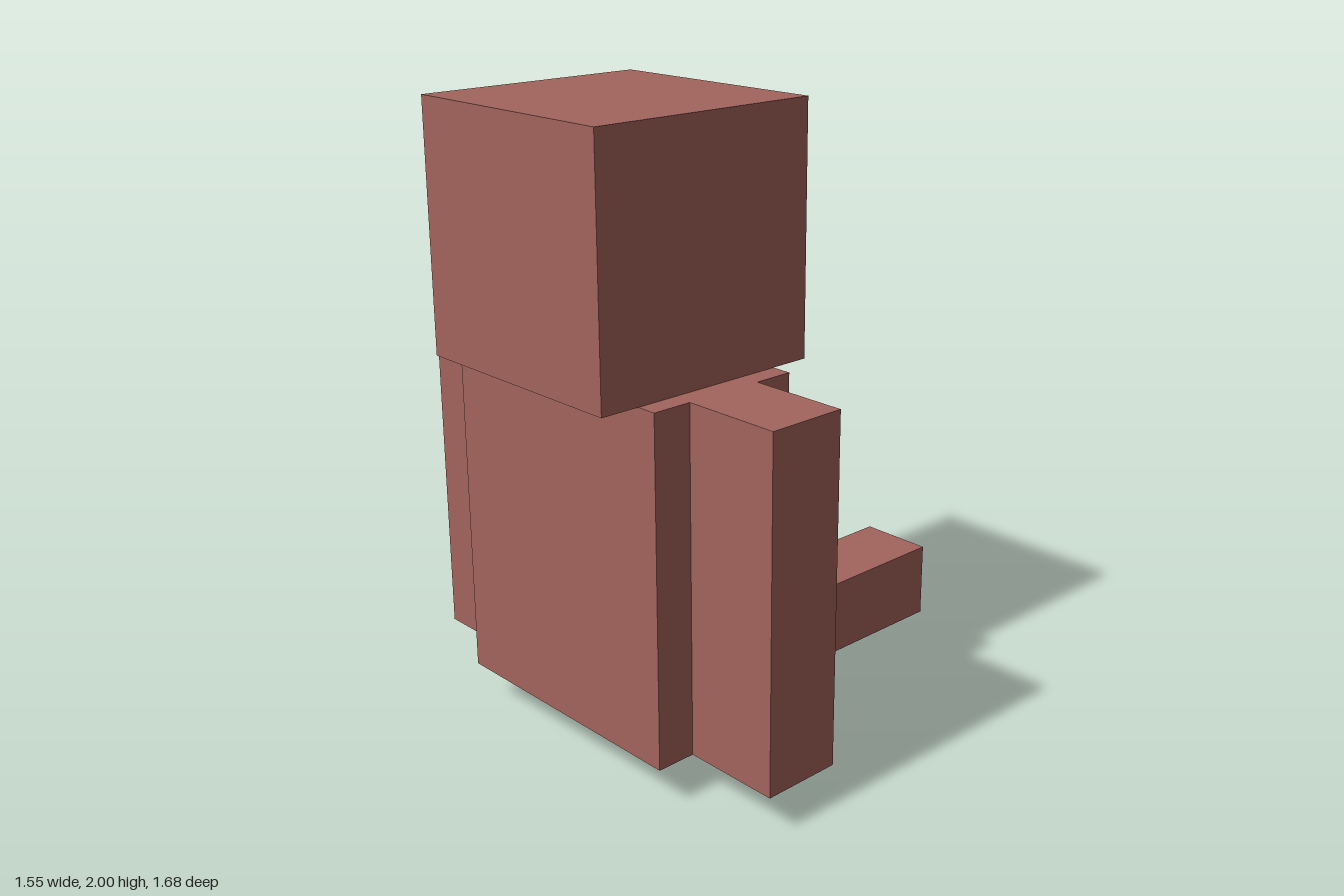
import * as THREE from 'three';

const U = 2 / 15.5; // one block unit

export function createModel() {
  const model = new THREE.Group();
  model.name = 'blockCreature';
  const clay = new THREE.MeshStandardMaterial({ color: 0xa3645d });
  clay.name = 'reddish brown';

  // Box given by size and centre, in block units
  const addBox = (name, size, centre) => {
    const mesh = new THREE.Mesh(new THREE.BoxGeometry(...size.map((v) => v * U)), clay);
    mesh.position.set(...centre).multiplyScalar(U);
    mesh.name = name;
    model.add(mesh);
  };

  addBox('head', [6, 6, 6], [0, 12.5, 3.5]);
  addBox('body', [7, 8.5, 4], [0, 5.25, 3.5]);

  // Arms hang flush against the sides of the body
  for (const [name, side] of [['leftArm', 1], ['rightArm', -1]]) {
    addBox(name, [2.5, 8.5, 2], [side * 4.75, 5.25, 3.5]);
  }

  // Tail starts under the middle of the body and runs backwards
  addBox('tail', [2, 2, 10], [0, 1, -1.5]);

  return model;
}
